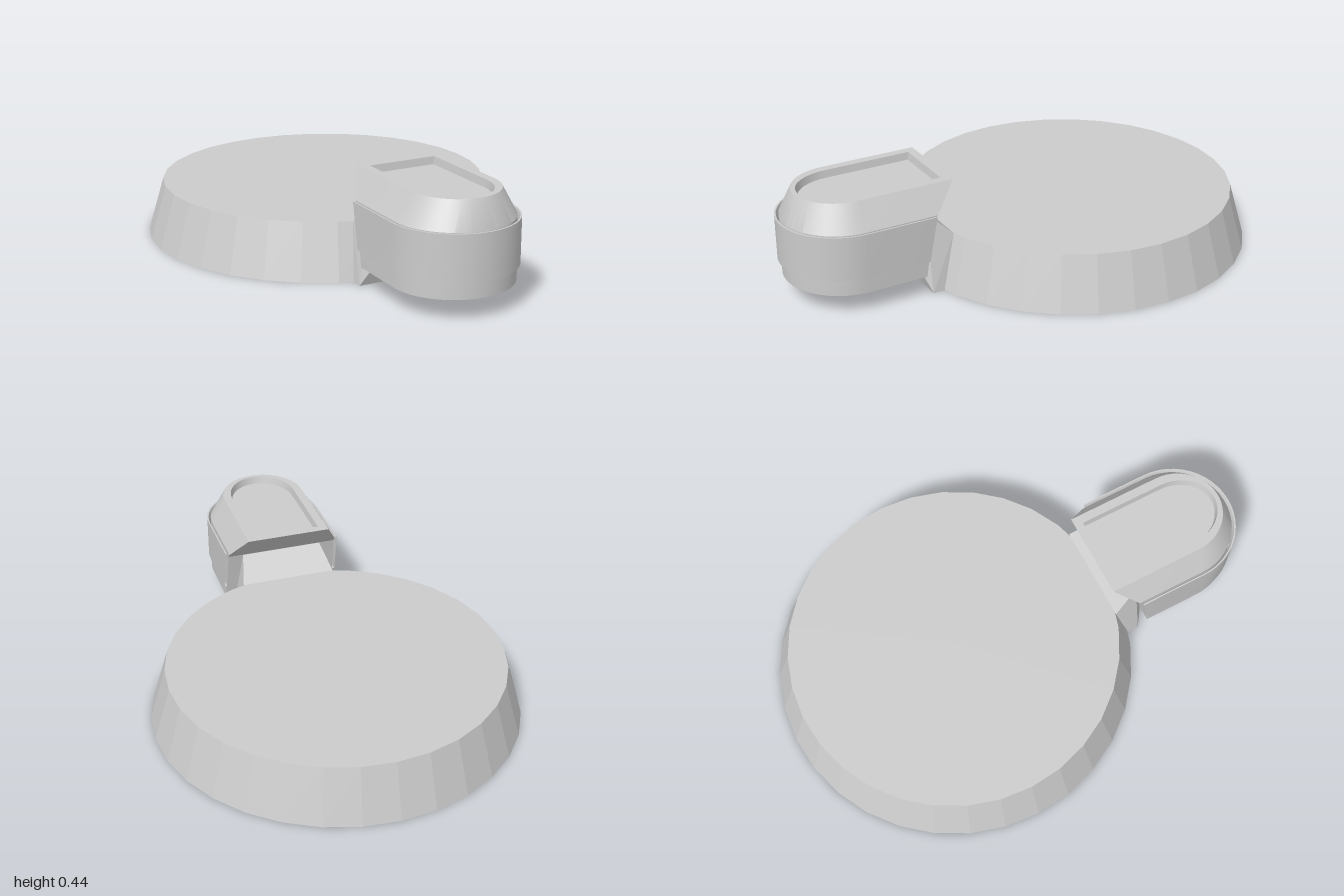
import * as THREE from 'three';
import { toCreasedNormals } from 'three/addons/utils/BufferGeometryUtils.js';
import { ConvexGeometry } from 'three/addons/geometries/ConvexGeometry.js';

const ARC = 24; // segments around the rounded nose
const NOSE_Z = 0.748; // centre of the rounded nose

// U-shaped outline: flat back edge, straight sides, rounded front
function uRing([w, y, back, front]) {
  const pts = [[-w, y, back]];
  for (let i = 0; i <= ARC; i++) {
    const a = Math.PI * (1 - i / ARC);
    pts.push([w * Math.cos(a), y, NOSE_Z + (front - NOSE_Z) * Math.sin(a)]);
  }
  pts.push([w, y, back]);
  return pts;
}

// Skin a stack of U outlines and cap both ends
function loftU(sections) {
  const rings = sections.map(uRing);
  const n = rings[0].length;
  const index = [];
  for (let r = 0; r < rings.length - 1; r++) {
    for (let i = 0; i < n; i++) {
      const a = r * n + i, b = r * n + (i + 1) % n;
      index.push(a, b, b + n, a, b + n, a + n);
    }
  }
  const top = (rings.length - 1) * n;
  for (let i = 1; i < n - 1; i++) {
    index.push(0, i + 1, i);
    index.push(top, top + i, top + i + 1);
  }
  const geo = new THREE.BufferGeometry();
  geo.setAttribute('position', new THREE.Float32BufferAttribute(rings.flat(2), 3));
  geo.setIndex(index);
  return toCreasedNormals(geo, Math.PI / 7);
}

export function createModel() {
  const group = new THREE.Group();
  const add = (name, geometry, options = {}) => {
    const mesh = new THREE.Mesh(geometry, new THREE.MeshStandardMaterial({ color: 0xcccccc, ...options }));
    mesh.name = name;
    group.add(mesh);
    return mesh;
  };

  // Wide tapered disc
  const disc = add('discBody', new THREE.CylinderGeometry(0.67, 0.735, 0.22, 32), { flatShading: true });
  disc.position.set(0, 0.11, -0.265);

  // Flared neck joining the disc to the head
  const neckPoints = [];
  for (const s of [-1, 1]) {
    neckPoints.push(
      new THREE.Vector3(s * 0.2, 0.22, 0.374),
      new THREE.Vector3(s * 0.23, 0, 0.433),
      new THREE.Vector3(s * 0.23, 0, 0.48),
      new THREE.Vector3(s * 0.17, 0.31, 0.475),
      new THREE.Vector3(s * 0.17, 0.1, 0.515),
    );
  }
  add('neck', new ConvexGeometry(neckPoints), { flatShading: true });

  // Head core: recessed underside, plain walls, sloped shoulder, recessed top
  add('head', loftU([
    [0.215, 0.105, 0.54, 0.96],
    [0.215, 0.085, 0.54, 0.96],
    [0.24, 0.085, 0.51, 0.985],
    [0.24, 0.15, 0.5, 0.985],
    [0.235, 0.31, 0.473, 0.983],
    [0.235, 0.33, 0.455, 0.983],
    [0.175, 0.435, 0.36, 0.935],
    [0.14, 0.435, 0.395, 0.918],
    [0.135, 0.405, 0.4, 0.91],
  ]));

  // Raised band wrapped around the sides and nose, open at the back
  const bandRows = [[0.24, 0.15, 0.5, 0.985], [0.25, 0.15, 0.5, 1], [0.25, 0.33, 0.465, 1],
    [0.244, 0.33, 0.465, 0.993], [0.237, 0.31, 0.473, 0.985]];
  const rows = bandRows.map(uRing);
  const n = rows[0].length;
  const index = [];
  for (let r = 0; r < rows.length - 1; r++) {
    for (let i = 0; i < n - 1; i++) {
      const a = r * n + i;
      index.push(a, a + 1, a + 1 + n, a, a + 1 + n, a + n);
    }
  }
  const band = new THREE.BufferGeometry();
  band.setAttribute('position', new THREE.Float32BufferAttribute(rows.flat(2), 3));
  band.setIndex(index);
  add('headBand', toCreasedNormals(band, Math.PI / 7), { side: THREE.DoubleSide });

  return group;
}
